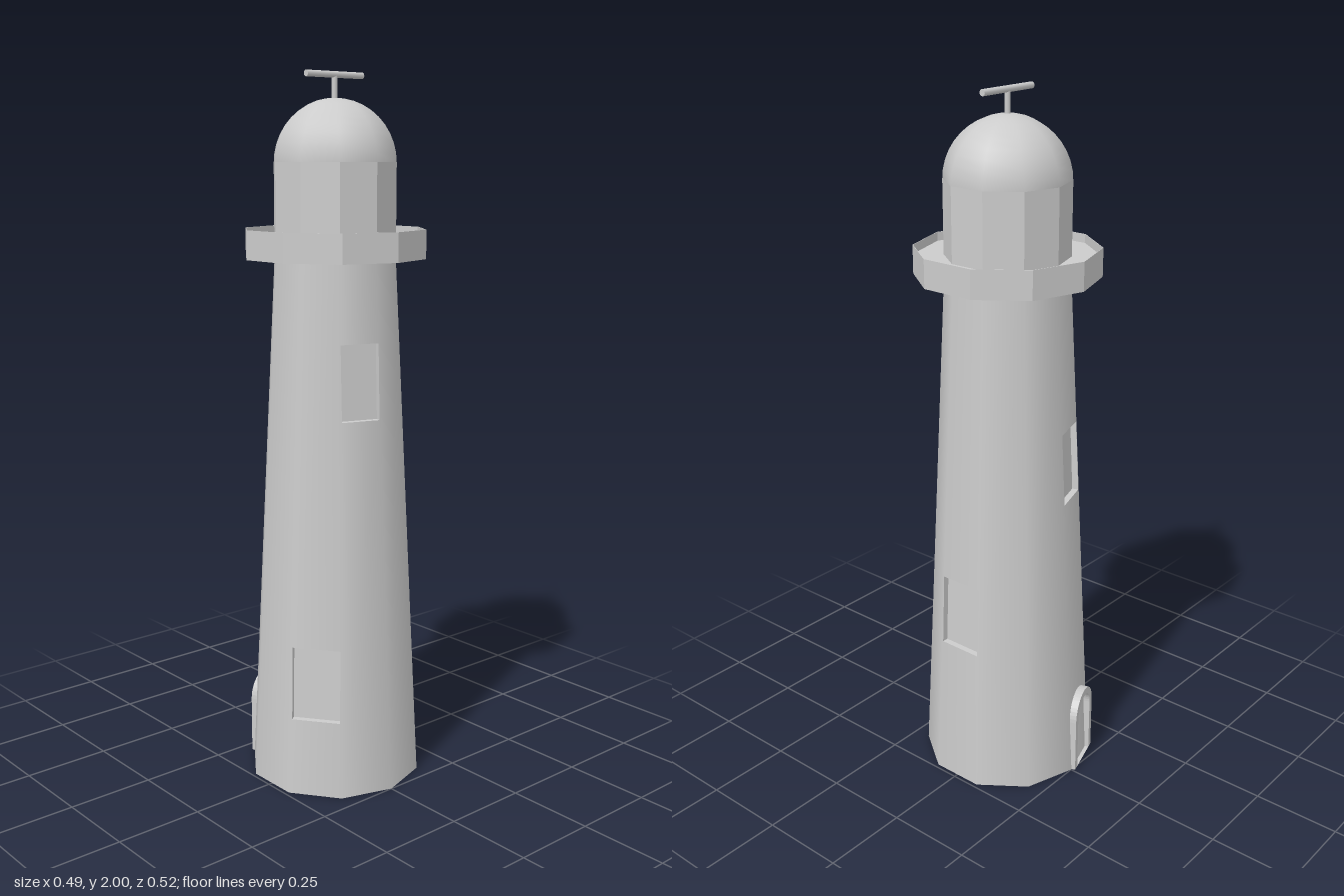
import * as THREE from 'three';
import { mergeGeometries } from 'three/addons/utils/BufferGeometryUtils.js';

const SIDES = 10, STEP = Math.PI * 2 / SIDES;
const R0 = 0.25, R1 = 0.173, H = 1.5;
const radius = y => R0 + (R1 - R0) * y / H;
const halfWidth = y => radius(y) * Math.sin(STEP / 2);
const apothem = y => radius(y) * Math.cos(STEP / 2);

const smooth = new THREE.MeshStandardMaterial({ color: 0xcccccc });
const flat = new THREE.MeshStandardMaterial({ color: 0xcccccc, flatShading: true });
const thin = new THREE.MeshStandardMaterial({ color: 0xcccccc, flatShading: true, side: THREE.DoubleSide });

// facet: which wall side carries the window (side centre = (facet + 0.5) * 36 degrees from the front)
const WINDOWS = [
  { facet: 9, y0: 1.07, y1: 1.28 },
  { facet: 8, y0: 0.22, y1: 0.43 },
  { facet: 2, y0: 0.43, y1: 0.64 },
  { facet: 5, y0: 0.87, y1: 1.08 },
];
const RECESS = 0.018;
const facetAngle = k => (k + 0.5) * STEP;

function windowCorners({ y0, y1 }) {
  const w = halfWidth(y1) * 0.98;
  return [[-w, y0], [w, y0], [w, y1], [-w, y1]];
}

// One sloping wall side with its window opening, shaded smoothly around the tower
function wallSide(k) {
  const outline = [[-halfWidth(0), 0], [halfWidth(0), 0], [halfWidth(H), H], [-halfWidth(H), H]];
  const shape = new THREE.Shape(outline.map(p => new THREE.Vector2(...p)));
  for (const win of WINDOWS.filter(w => w.facet === k)) {
    shape.holes.push(new THREE.Path(windowCorners(win).map(p => new THREE.Vector2(...p))));
  }
  const g = new THREE.ShapeGeometry(shape);
  const pos = g.attributes.position, nor = g.attributes.normal;
  const n = new THREE.Vector3();
  for (let i = 0; i < pos.count; i++) {
    pos.setZ(i, apothem(pos.getY(i)));
    const a = Math.atan2(pos.getX(i), pos.getZ(i));
    n.set(Math.sin(a), (R0 - R1) / H, Math.cos(a)).normalize();
    nor.setXYZ(i, n.x, n.y, n.z);
  }
  return g.rotateY(facetAngle(k));
}

// Jambs, sill, lintel and pane set back from the wall
function windowRecess(win) {
  const c = windowCorners(win);
  const outer = c.map(([u, y]) => [u, y, apothem(y)]);
  const inner = c.map(([u, y]) => [u, y, apothem(y) - RECESS]);
  const verts = [];
  const quad = (a, b, d, e) => verts.push(...a, ...b, ...d, ...a, ...d, ...e);
  for (let i = 0; i < 4; i++) {
    const j = (i + 1) % 4;
    quad(outer[i], outer[j], inner[j], inner[i]);
  }
  quad(...inner);
  const g = new THREE.BufferGeometry();
  g.setAttribute('position', new THREE.Float32BufferAttribute(verts, 3));
  g.computeVertexNormals();
  return g.rotateY(facetAngle(win.facet));
}

// Arched outline standing on the ground
function arch(Type, w, top) {
  const p = new Type();
  p.moveTo(-w, 0);
  p.lineTo(w, 0);
  p.lineTo(w, top - w);
  p.absarc(0, top - w, w, 0, Math.PI, false);
  p.lineTo(-w, 0);
  return p;
}

export function createModel() {
  const model = new THREE.Group();
  model.name = 'lighthouse';
  const add = (name, geometry, material) => {
    const mesh = new THREE.Mesh(geometry, material);
    mesh.name = name;
    model.add(mesh);
    return mesh;
  };

  // Tapered tower and its underside
  add('tower', mergeGeometries(Array.from({ length: SIDES }, (_, k) => wallSide(k))), smooth);
  add('towerBase', new THREE.CircleGeometry(R0, SIDES, Math.PI / 2).rotateX(Math.PI / 2), flat);

  // Windows
  WINDOWS.forEach((w, i) => add('window' + (i + 1), windowRecess(w), thin));

  // Raised arched door frame at the back
  const frame = arch(THREE.Shape, 0.0735, 0.24);
  frame.holes.push(arch(THREE.Path, 0.053, 0.219));
  const door = new THREE.ExtrudeGeometry(frame, { depth: 0.03, bevelEnabled: false, curveSegments: 10 });
  add('doorFrame', door.translate(0, 0, 0.2195).rotateY(facetAngle(5)), flat);

  // Gallery: tray with a thin, low parapet
  const tray = [[0, 1.5], [0.257, 1.5], [0.257, 1.58], [0.2555, 1.58], [0.2555, 1.555], [0.1, 1.555]];
  add('gallery', new THREE.LatheGeometry(tray.map(p => new THREE.Vector2(...p)), SIDES), flat);

  // Lantern room and dome
  add('lanternRoom', new THREE.CylinderGeometry(R1, R1, 0.22, SIDES, 1, true).translate(0, 1.65, 0), flat);
  const dome = new THREE.SphereGeometry(R1, SIDES, 10, 0, Math.PI * 2, 0, Math.PI / 2);
  add('dome', dome.rotateY(Math.PI / 2).translate(0, 1.757, 0), smooth);

  // Finial: short post with a crossbar
  add('finialPost', new THREE.CylinderGeometry(0.008, 0.008, 0.08, 10).translate(0, 1.95, 0), smooth);
  add('finialBar', new THREE.CylinderGeometry(0.009, 0.009, 0.2, 10).rotateZ(Math.PI / 2).translate(0, 1.991, 0), smooth);

  return model;
}
